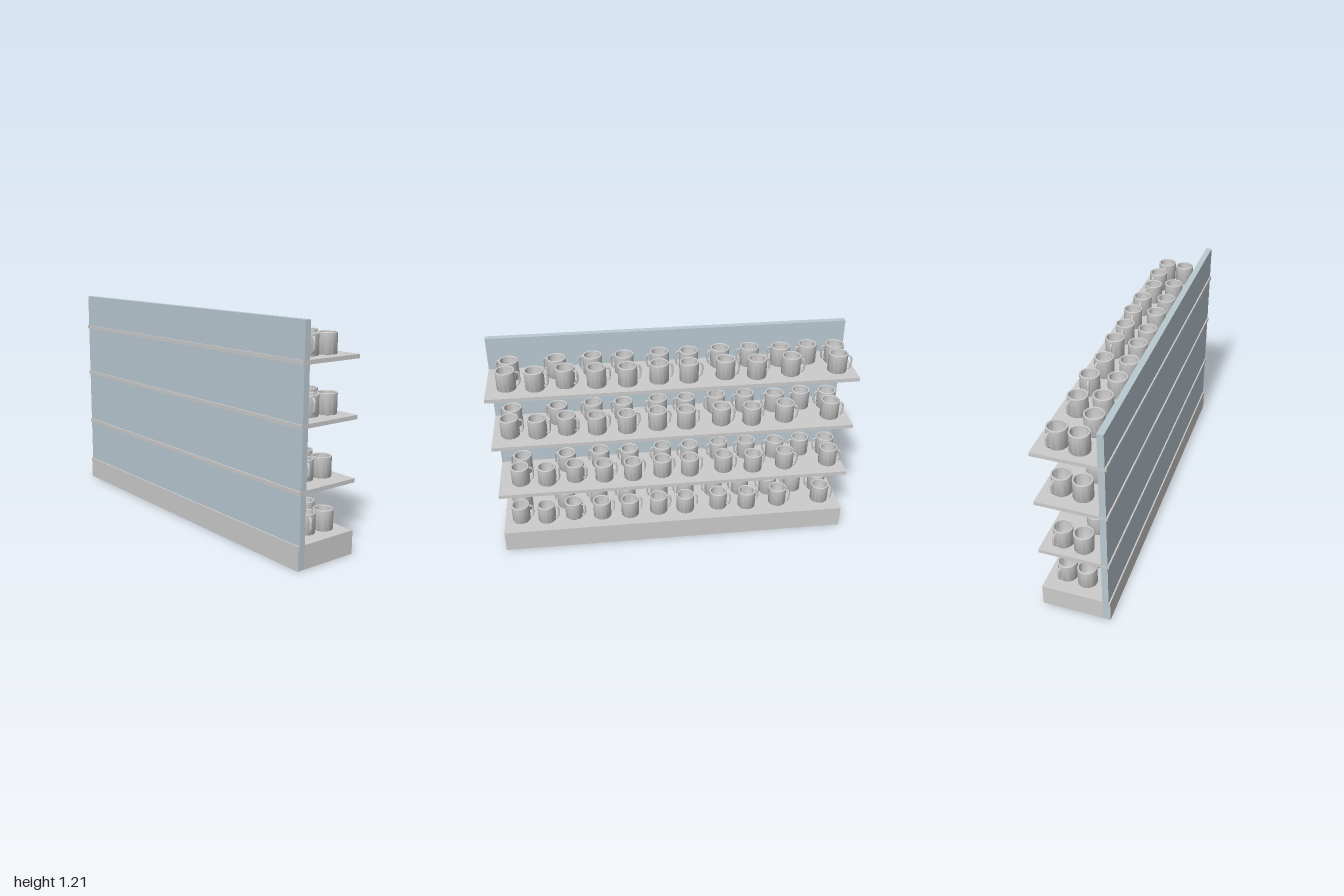
import * as THREE from 'three';
import { toCreasedNormals } from 'three/addons/utils/BufferGeometryUtils.js';

const grey = new THREE.MeshStandardMaterial({ color: 0xcccccc });
const greyThin = new THREE.MeshStandardMaterial({ color: 0xcccccc, side: THREE.DoubleSide });
const blue = new THREE.MeshStandardMaterial({ color: 0xb9c9d1 });

// Box given by its width, its y range and its z range
function slab(name, width, y0, y1, z0, z1, material) {
  const mesh = new THREE.Mesh(new THREE.BoxGeometry(width, y1 - y0, z1 - z0), material);
  mesh.position.set(0, (y0 + y1) / 2, (z0 + z1) / 2);
  mesh.name = name;
  return mesh;
}

// Hollow cup: up the outside, over the rim, down to a rounded inner floor
function cupGeometry() {
  const profile = [
    [0, 0], [0.05, 0], [0.052, 0.003], [0.052, 0.105], [0.05, 0.107], [0.045, 0.107],
    [0.043, 0.105], [0.043, 0.025], [0.038, 0.014], [0.028, 0.009], [0, 0.008],
  ].map(([r, y]) => new THREE.Vector2(r, y));
  return toCreasedNormals(new THREE.LatheGeometry(profile, 28), 0.7);
}

// Handle loop lying in the xy plane, pointing to +x
function handleGeometry() {
  const path = new THREE.CatmullRomCurve3([
    [0.047, 0.092], [0.062, 0.093], [0.071, 0.082], [0.072, 0.055],
    [0.069, 0.032], [0.061, 0.02], [0.047, 0.018],
  ].map(([x, y]) => new THREE.Vector3(x, y, 0)));
  const geometry = new THREE.TubeGeometry(path, 14, 0.005, 6);
  geometry.scale(1, 1, 1.6);
  return geometry;
}

// Mugs on one shelf: x, z and the handle's z slope
const outerRow = [
  [-0.9, -0.083, -0.4], [-0.64, -0.083, -0.45], [-0.45, -0.093, 0.22], [-0.28, -0.077, -0.35],
  [-0.08, -0.088, 0], [0.08, -0.083, 0.08], [0.25, -0.093, 0.25], [0.415, -0.088, 0.1],
  [0.58, -0.072, -0.5], [0.74, -0.088, -0.25], [0.89, -0.072, 0],
];
const innerRow = [
  [-0.91, 0.03, 0], [-0.76, 0.046, -0.15], [-0.605, 0.035, 0.22], [-0.435, 0.051, 0],
  [-0.27, 0.056, -0.15], [-0.095, 0.046, 0.15], [0.065, 0.051, -0.08], [0.26, 0.041, 0.33],
  [0.43, 0.051, 0.25], [0.625, 0.041, 0.38], [0.877, 0.041, 0.38],
];

export function createModel() {
  const model = new THREE.Group();
  model.name = 'mugDisplayShelf';

  // Plinth and upright panel
  model.add(slab('base', 1.998, 0, 0.126, -0.187, 0.188, grey));
  model.add(slab('backPanel', 1.999, 0.002, 1.206, 0.146, 0.18, blue));

  // Shelves pass through the panel and show as thin strips on the other side
  for (const y of [0.378, 0.7, 1.0]) {
    model.add(slab('shelf', 2, y, y + 0.021, -0.187, 0.188, grey));
  }

  // Two rows of mugs per level, each level shifted a little sideways
  const cup = cupGeometry();
  const handle = handleGeometry();
  const levels = [[0.135, 0.012], [0.404, -0.012], [0.728, 0.012], [1.021, 0]];
  for (const [y, shift] of levels) {
    const level = new THREE.Group();
    level.name = 'mugLevel';
    level.position.set(shift, y, 0);
    for (const [row, side] of [[outerRow, -1], [innerRow, 1]]) {
      for (const [x, z, slope] of row) {
        const mug = new THREE.Group();
        mug.name = 'mug';
        const cupMesh = new THREE.Mesh(cup, greyThin);
        cupMesh.name = 'cup';
        const handleMesh = new THREE.Mesh(handle, greyThin);
        handleMesh.name = 'handle';
        mug.add(cupMesh, handleMesh);
        mug.position.set(x, 0, z);
        mug.rotation.y = Math.atan2(-slope, side);
        level.add(mug);
      }
    }
    model.add(level);
  }
  return model;
}
